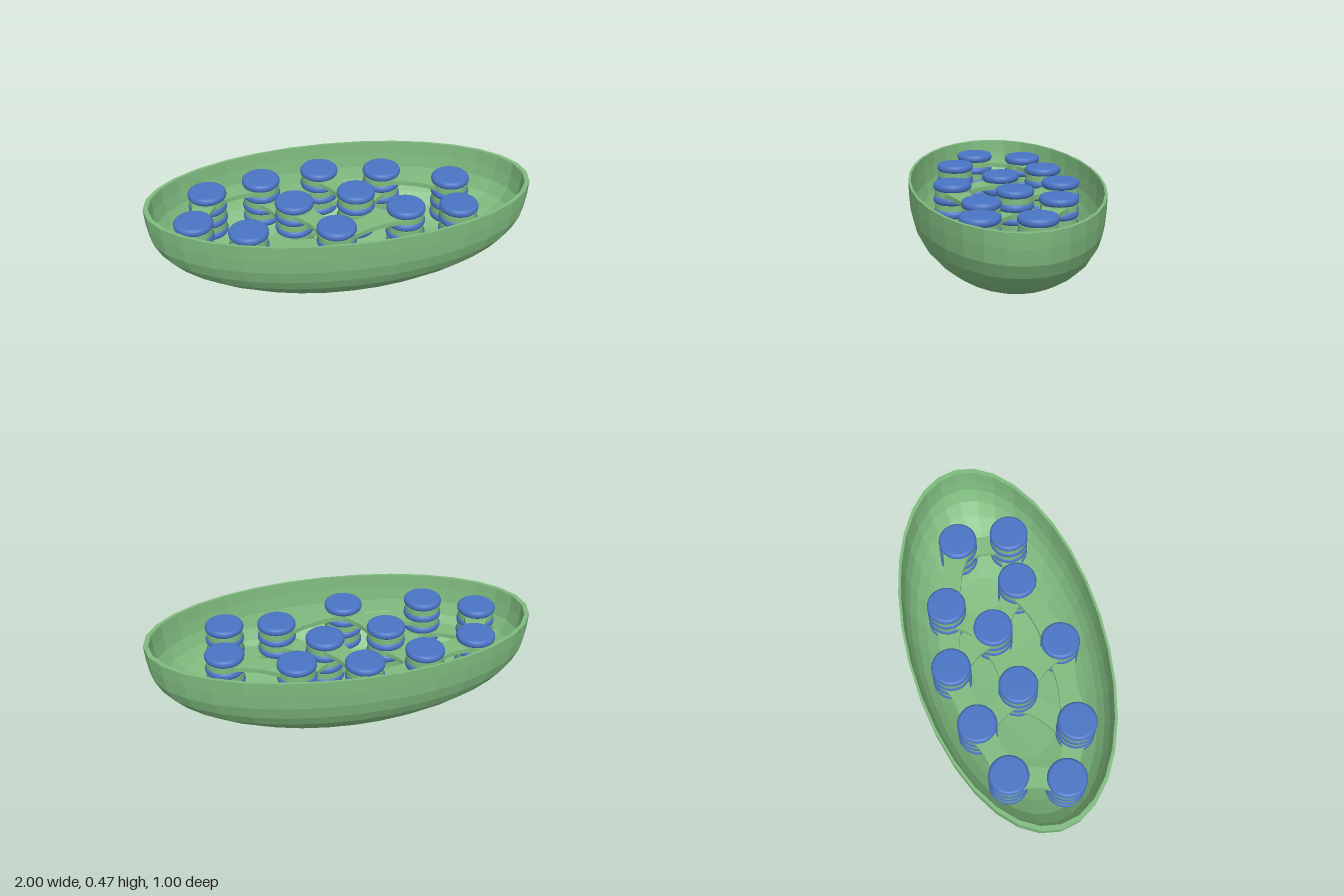
import * as THREE from 'three';

const green = new THREE.MeshStandardMaterial({ color: 0x7fbb7f, flatShading: true });
green.name = 'leaf green';
const blue = new THREE.MeshStandardMaterial({ color: 0x4a74c4 });
blue.name = 'disc blue';

// Stack centres [x, z]
const STACKS = [
  [-0.67, -0.17], [-0.38, -0.25], [-0.06, -0.3], [0.27, -0.24],
  [0.61, -0.09], [0.58, 0.18], [0.31, 0.15], [0.09, -0.04],
  [-0.24, 0], [-0.76, 0.1], [-0.5, 0.23], [-0.07, 0.27],
];
// Pairs of stacks joined by a thin sheet
const LINKS = [
  [0, 1], [1, 2], [2, 3], [3, 4], [4, 5], [5, 6], [6, 11], [11, 10],
  [10, 9], [9, 0], [1, 8], [8, 7], [7, 2], [7, 6], [8, 10], [8, 11], [3, 7],
];
const RADIUS = 0.1;
const TOP = 0.427;
const PITCH = 0.07;
const LEVELS = 4;

function addMesh(parent, geometry, material, name) {
  const mesh = new THREE.Mesh(geometry, material);
  mesh.name = name;
  parent.add(mesh);
  return mesh;
}

// Open half shell: outer wall up to the rim, then the inner wall back down
function makeShell() {
  const outer = [
    [0, 0], [0.195, 0.007], [0.375, 0.024], [0.548, 0.05], [0.69, 0.088], [0.797, 0.137],
    [0.885, 0.19], [0.945, 0.25], [0.982, 0.32], [0.995, 0.4], [1, 0.475],
  ];
  const inner = outer.map(([r, y]) => [r * 0.975, y + 0.018 * (1 - y / 0.475)]).reverse();
  const points = [...outer, ...inner].map(([r, y]) => new THREE.Vector2(r, y));
  const geometry = new THREE.LatheGeometry(points, 32);
  geometry.scale(1, 1, 0.5);
  return geometry;
}

// Flat disc with a rounded edge
function makeDisc() {
  const h = 0.021, bevel = 0.016;
  const points = [new THREE.Vector2(0, -h), new THREE.Vector2(RADIUS - bevel, -h)];
  for (let i = 1; i < 8; i++) {
    const a = -Math.PI / 2 + (i * Math.PI) / 8;
    points.push(new THREE.Vector2(RADIUS - bevel + bevel * Math.cos(a), h * Math.sin(a)));
  }
  points.push(new THREE.Vector2(RADIUS - bevel, h), new THREE.Vector2(0, h));
  return new THREE.LatheGeometry(points, 40);
}

// Thin sheet between two stacks, pinched in the middle
function makeBridge(length) {
  const w = 0.09, pinch = -0.01;
  const shape = new THREE.Shape();
  shape.moveTo(0, -w);
  shape.quadraticCurveTo(length / 2, pinch, length, -w);
  shape.lineTo(length, w);
  shape.quadraticCurveTo(length / 2, -pinch, 0, w);
  shape.closePath();
  const geometry = new THREE.ExtrudeGeometry(shape, { depth: 0.024, bevelEnabled: false, curveSegments: 16 });
  geometry.translate(0, 0, -0.012);
  geometry.rotateX(-Math.PI / 2);
  return geometry;
}

export function createModel() {
  const model = new THREE.Group();
  model.name = 'halfShellWithDiscStacks';
  addMesh(model, makeShell(), green, 'shell');

  // Stacks of blue discs with green spacers
  const disc = makeDisc();
  const spacer = new THREE.CylinderGeometry(0.094, 0.094, 0.03, 40);
  STACKS.forEach(([x, z]) => {
    const stack = new THREE.Group();
    stack.name = 'discStack';
    stack.position.set(x, 0, z);
    for (let i = 0; i < LEVELS; i++) {
      addMesh(stack, disc, blue, 'disc').position.y = TOP - i * PITCH;
      if (i < LEVELS - 1) {
        addMesh(stack, spacer, green, 'spacer').position.y = TOP - (i + 0.5) * PITCH;
      }
    }
    model.add(stack);
  });

  // Sheets joining neighbouring stacks, at the spacer heights
  LINKS.forEach(([a, b], i) => {
    const [ax, az] = STACKS[a];
    const [bx, bz] = STACKS[b];
    const dx = bx - ax, dz = bz - az;
    const bridge = addMesh(model, makeBridge(Math.hypot(dx, dz)), green, 'bridge');
    bridge.position.set(ax, TOP - ((i % 3) + 0.5) * PITCH, az);
    bridge.rotation.y = Math.atan2(-dz, dx);
  });
  return model;
}
